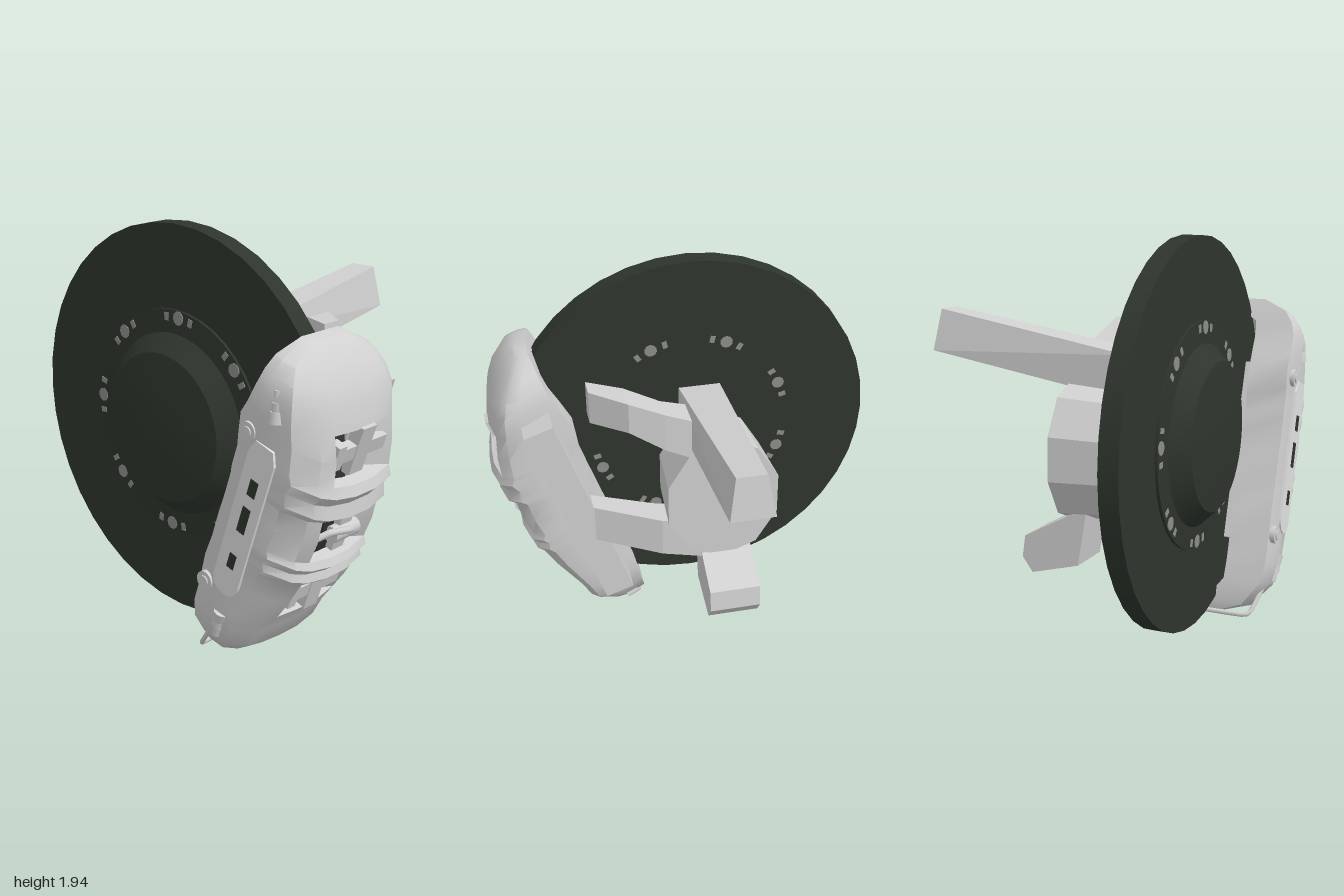
import * as THREE from 'three';
import { toCreasedNormals } from 'three/addons/utils/BufferGeometryUtils.js';
import { ConvexGeometry } from 'three/addons/geometries/ConvexGeometry.js';

const mat = (name, color) => new THREE.MeshStandardMaterial({ name, color });
const V = (p) => new THREE.Vector3(...p);

export function createModel() {
  const darkIron = mat('darkIron', 0x2e352d);
  const alloy = mat('alloy', 0xd0d0d0);
  const paleAlloy = mat('paleAlloy', 0xe2e2e2);
  const steel = mat('steel', 0x8c8f89);
  const model = new THREE.Group();

  function add(parent, name, geometry, material, pos = [0, 0, 0]) {
    const mesh = new THREE.Mesh(geometry, material);
    mesh.name = name;
    mesh.position.set(...pos);
    parent.add(mesh);
    return mesh;
  }
  const hull = (parent, name, pts) => add(parent, name, new ConvexGeometry(pts.map(V)), alloy);
  const tube = (parent, name, pts, r) => add(parent, name,
    new THREE.TubeGeometry(new THREE.CatmullRomCurve3(pts.map(V), false, 'catmullrom', 0.15), 32, r, 8), alloy);
  // cylinder along z
  const pin = (r, len, sides = 12) => new THREE.CylinderGeometry(r, r, len, sides).rotateX(Math.PI / 2);

  // Brake disc with raised hat
  const disc = new THREE.Group();
  disc.name = 'brakeDisc';
  disc.position.set(-0.055, 0.993, 0);
  model.add(disc);
  const profile = [[0, 0.465], [0.945, 0.465], [0.945, 0.56], [0.55, 0.56], [0.55, 0.574],
    [0.44, 0.58], [0.36, 0.662], [0.2, 0.68], [0, 0.686]].map((p) => new THREE.Vector2(...p));
  add(disc, 'rotorAndHat', toCreasedNormals(new THREE.LatheGeometry(profile, 40).rotateX(Math.PI / 2), 0.4), darkIron);

  // Rings of hat bolts on both faces, each bolt flanked by two small clips
  for (const [start, z] of [[86, 0.575], [67, 0.466]]) {
    for (let i = 0; i < 8; i++) {
      const a = THREE.MathUtils.degToRad(start + i * 45);
      for (const d of [-0.15, 0, 0.15]) {
        const geometry = d ? new THREE.BoxGeometry(0.038, 0.026, 0.008) : pin(0.033, 0.008, 10);
        const bolt = add(disc, d ? 'boltClip' : 'hatBolt', geometry, steel,
          [Math.cos(a + d) * 0.515, Math.sin(a + d) * 0.515, z]);
        bolt.rotation.z = a + d;
      }
    }
  }

  // Caliper, in a tilted frame: x outward, y along its length
  const caliper = new THREE.Group();
  caliper.name = 'caliper';
  caliper.position.set(0.65, 0.8, 0);
  caliper.rotation.z = THREE.MathUtils.degToRad(-19);
  model.add(caliper);

  // rows: position along the length, inner edge, outer edge, width factor, cavity factor
  const rows = [[-0.86, -0.13, -0.05, 0.3, 0], [-0.82, -0.15, 0.05, 0.66, 0], [-0.7, -0.16, 0.15, 0.93, 1],
    [-0.6, -0.17, 0.165, 1, 1], [-0.5, -0.17, 0.2, 1, 1], [-0.39, -0.18, 0.24, 1, 1], [-0.28, -0.17, 0.265, 1, 1],
    [-0.25, -0.17, 0.29, 1, 1], [-0.215, -0.17, 0.27, 1, 1], [-0.18, -0.17, 0.295, 1, 1], [-0.15, -0.17, 0.27, 1, 1],
    [-0.04, -0.165, 0.28, 1, 1], [0.07, -0.165, 0.27, 1, 1], [0.1, -0.17, 0.302, 1, 1], [0.16, -0.17, 0.275, 1, 1],
    [0.21, -0.17, 0.3, 1, 1], [0.25, -0.18, 0.27, 1, 1], [0.36, -0.2, 0.245, 1, 1], [0.48, -0.18, 0.195, 1, 1],
    [0.58, -0.16, 0.145, 1, 1], [0.65, -0.155, 0.09, 0.93, 1], [0.71, -0.15, 0.02, 0.8, 0], [0.77, -0.14, -0.07, 0.4, 0]];
  // columns: z and height fraction of the outer and the inner skin
  const cols = [[0.805, 0, 0.6, 0], [0.83, 0.3, 0.6, 0.3], [0.815, 0.7, 0.6, 0.6], [0.73, 0.92, 0.6, 0.74],
    [0.65, 0.97, 0.6, 0.82], [0.53, 1, 0.53, 0.86], [0.4, 1, 0.42, 0.86], [0.25, 0.93, 0.38, 0.8],
    [0.195, 0.8, 0.35, 0.66], [0.18, 0.5, 0.34, 0.4], [0.22, 0, 0.34, 0]];
  const windowRows = [4, 5, 10, 11, 16, 17];
  const solid = (i, j) => i >= 0 && j >= 0 && i < rows.length - 1 && j < cols.length - 1
    && !(windowRows.includes(i) && j >= 4 && j < 7);
  const skin = (i, j, inner) => {
    const [v, lo, hi, w, cavity] = rows[i];
    const z = cols[j][inner ? 2 : 0], f = cols[j][inner ? 3 : 1];
    // the ridges sweep upward towards the front face
    const sweep = Math.abs(v) < 0.4 ? 0.25 * Math.max(0, z - 0.6) : 0;
    return [lo + (hi - lo) * f, v + sweep, 0.5 + (z - 0.5) * w * (inner ? cavity : 1)];
  };
  const pos = [];
  const quad = (a, b, c, d) => pos.push(...a, ...b, ...c, ...a, ...c, ...d);
  for (let i = 0; i < rows.length - 1; i++) {
    for (let j = 0; j < cols.length - 1; j++) {
      if (!solid(i, j)) continue;
      const c = [[i, j], [i, j + 1], [i + 1, j + 1], [i + 1, j]];
      const o = c.map((p) => skin(...p, false)), n = c.map((p) => skin(...p, true));
      quad(...o);
      quad(n[3], n[2], n[1], n[0]);
      // close the rims and window edges
      [[i - 1, j], [i, j + 1], [i + 1, j], [i, j - 1]].forEach((q, e) => {
        const f = (e + 1) % 4;
        if (!solid(...q)) quad(o[e], n[e], n[f], o[f]);
      });
    }
  }
  const body = new THREE.BufferGeometry();
  body.setAttribute('position', new THREE.Float32BufferAttribute(pos, 3));
  add(caliper, 'caliperBody', toCreasedNormals(body, 0.65), alloy);

  // Pale face panel with three plain dark slots
  const panel = new THREE.Shape();
  panel.moveTo(-0.075, -0.36);
  panel.quadraticCurveTo(-0.07, -0.43, 0, -0.43);
  panel.quadraticCurveTo(0.07, -0.43, 0.075, -0.36);
  panel.lineTo(0.075, 0.3);
  panel.lineTo(0.05, 0.36);
  panel.lineTo(-0.05, 0.36);
  panel.lineTo(-0.075, 0.3);
  add(caliper, 'facePanel', new THREE.ExtrudeGeometry(panel, { depth: 0.02, bevelEnabled: false }), paleAlloy, [-0.01, 0, 0.815]);
  for (const [v, w, h] of [[0.145, 0.045, 0.08], [-0.022, 0.045, 0.13], [-0.247, 0.04, 0.075]]) {
    add(caliper, 'panelSlot', new THREE.BoxGeometry(w, h, 0.004), darkIron, [-0.007, v, 0.836]);
  }

  // Clamp bolts on the inner edge, and bleed nipples near the ends
  for (const [u, v] of [[-0.12, 0.365], [-0.125, -0.448]]) {
    add(caliper, 'boltBoss', pin(0.045, 0.2, 16), alloy, [u, v, 0.733]);
    add(caliper, 'clampBolt', pin(0.026, 0.012, 10), alloy, [u, v, 0.834]);
  }
  for (const [u, v, turn] of [[-0.02, 0.53, 0.3], [0, -0.6, Math.PI]]) {
    const nipple = new THREE.Group();
    nipple.name = 'bleedNipple';
    nipple.position.set(u, v, 0.805);
    nipple.rotation.z = turn;
    caliper.add(nipple);
    add(nipple, 'nippleBase', new THREE.CylinderGeometry(0.032, 0.04, 0.05, 12), alloy, [0, -0.03, 0]);
    add(nipple, 'nippleHex', new THREE.CylinderGeometry(0.03, 0.03, 0.04, 6), alloy, [0, 0.015, 0]);
    add(nipple, 'nippleTip', new THREE.CylinderGeometry(0.018, 0.022, 0.05, 10), alloy, [0, 0.06, 0]);
  }

  // Pads on both sides of the disc
  for (const z of [0.425, 0.595]) add(caliper, 'brakePad', new THREE.BoxGeometry(0.27, 0.92, 0.06), alloy, [-0.02, -0.03, z]);

  // Pad pins and spring blocks in the outer windows
  for (const v of [0.365, -0.39]) {
    add(caliper, 'padPin', new THREE.BoxGeometry(0.05, 0.07, 0.33), alloy, [0.18, v, 0.455]);
    add(caliper, 'springBlock', new THREE.BoxGeometry(0.06, 0.24, 0.09), alloy, [0.18, v, 0.45]);
    add(caliper, 'pinHead', new THREE.BoxGeometry(0.06, 0.12, 0.05), alloy, [0.18, v, 0.6]);
  }
  // Middle bridge bolt with its loop of pipe
  add(caliper, 'bridgeBolt', pin(0.04, 0.16), alloy, [0.24, -0.04, 0.45]);
  add(caliper, 'bridgeBlock', new THREE.BoxGeometry(0.05, 0.2, 0.08), alloy, [0.22, -0.04, 0.45]);
  tube(caliper, 'bridgePipe', [[0.23, -0.04, 0.64], [0.26, 0, 0.57], [0.27, -0.02, 0.45], [0.25, -0.06, 0.36]], 0.016);

  // Mounting bar behind the caliper
  add(caliper, 'mountingBar', new THREE.BoxGeometry(0.15, 1.11, 0.16), alloy, [-0.05, -0.035, 0.15]);

  // Transfer pipe around the lower end
  tube(model, 'transferPipe', [[0.44, 0.24, 0.81], [0.27, 0.03, 0.74], [0.25, 0.014, 0.7],
    [0.26, 0.02, 0.36], [0.37, 0.17, 0.13]], 0.012);

  // Steering knuckle: hub, strut arm, lower arm and two caliper arms
  const knuckle = new THREE.Group();
  knuckle.name = 'knuckle';
  model.add(knuckle);
  const hub = add(knuckle, 'hub', toCreasedNormals(
    new THREE.CylinderGeometry(0.275, 0.295, 0.32, 10).rotateX(Math.PI / 2), 0.4), alloy, [-0.11, 0.88, 0.085]);
  hub.scale.y = 1.2;
  hull(knuckle, 'strutArm', [[-0.16, 1.335, -0.84], [0.05, 1.335, -0.84], [-0.12, 1.545, -0.81], [0.02, 1.545, -0.81],
    [-0.16, 1.15, 0.24], [0.05, 1.15, 0.24], [-0.16, 1.37, 0.24], [0.05, 1.37, 0.24]]);
  const lower = [[0.07, 0.63], [-0.07, 0.52], [-0.27, 0.45], [-0.285, 0.34], [-0.23, 0.265], [0.02, 0.33]];
  hull(knuckle, 'lowerArm', lower.flatMap(([z, y]) => [[-0.26, y, z], [0, y, z]]));

  // each arm is a chain of tapered blocks; section: x, bottom, top, back, front
  const arm = (name, sections) => {
    const ring = ([x, y0, y1, z0, z1]) => [[x, y0, z0], [x, y1, z0], [x, y0, z1], [x, y1, z1]];
    for (let i = 1; i < sections.length; i++) hull(knuckle, name, [...ring(sections[i - 1]), ...ring(sections[i])]);
  };
  arm('upperCaliperArm', [[-0.02, 1.12, 1.34, -0.07, 0.1], [0.18, 1.22, 1.42, -0.07, 0.06],
    [0.35, 1.33, 1.49, -0.05, 0.1], [0.52, 1.33, 1.5, 0.08, 0.18]]);
  arm('lowerCaliperArm', [[-0.02, 0.53, 0.75, -0.07, 0.1], [0.2, 0.57, 0.78, -0.05, 0.1], [0.55, 0.63, 0.83, 0.08, 0.19]]);

  return model;
}
